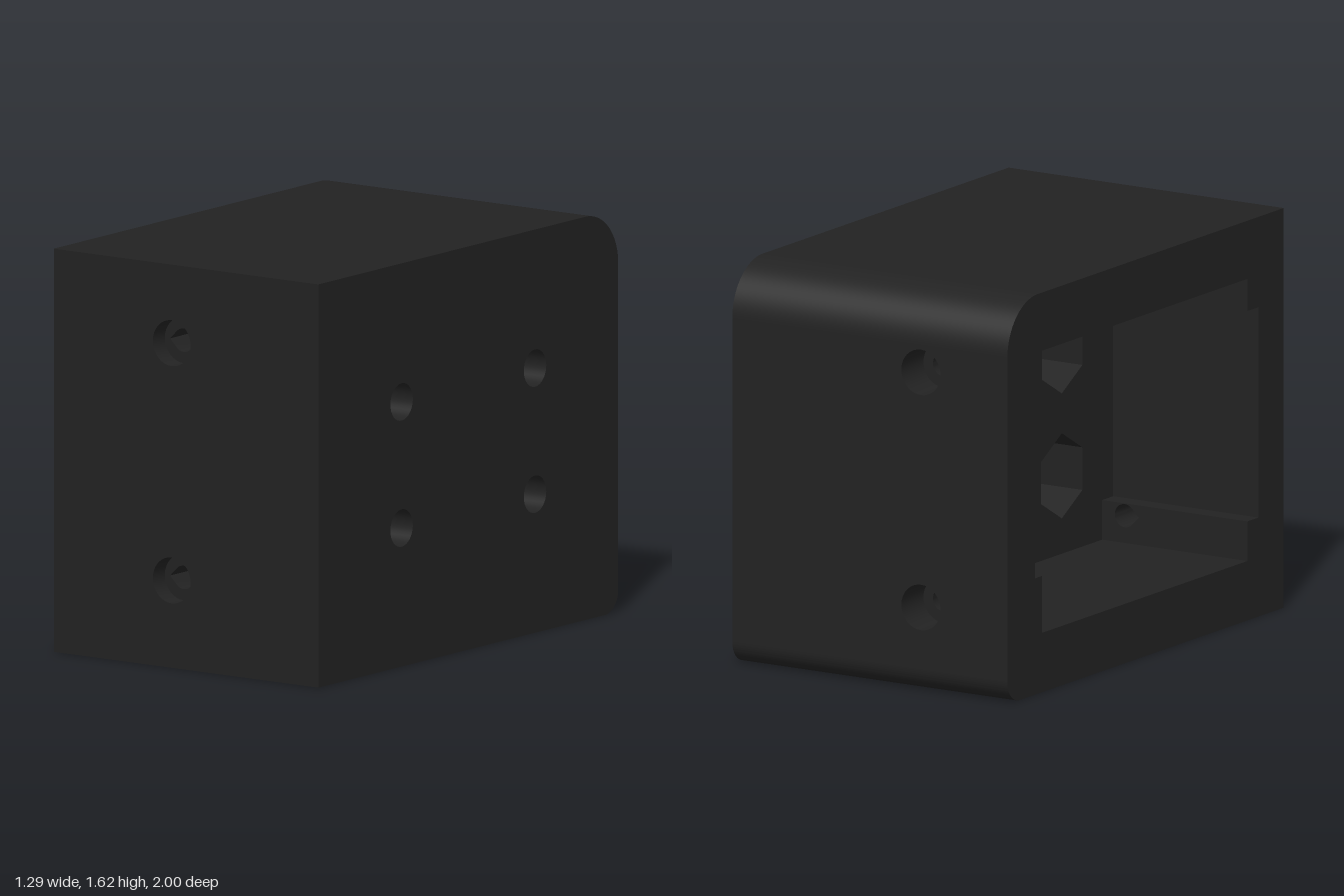
import * as THREE from 'three';
import { toCreasedNormals } from 'three/addons/utils/BufferGeometryUtils.js';

const X = 0.645, H = 1.615;          // half width, height
const FLOOR_X = 0.036;               // floor of the cavity
const POCKET_X = 0.35;               // bottom of the nut pockets
const material = new THREE.MeshStandardMaterial({ color: 0x222222, side: THREE.DoubleSide });

// Maps a 2D loop point and a depth to 3D
const alongX = (p, d) => [d, p.y, p.x];   // loop in (z, y)
const alongZ = (p, d) => [p.x, p.y, d];   // loop in (x, y)

const pts = (list) => list.map(([a, b]) => new THREE.Vector2(a, b));

function ring(cx, cy, r, n = 32, start = 0) {
  return Array.from({ length: n }, (_, i) => {
    const a = start + (i / n) * Math.PI * 2;
    return new THREE.Vector2(cx + r * Math.cos(a), cy + r * Math.sin(a));
  });
}

// Circle with a pointed tip towards -x
function teardrop(cx, cy, r) {
  const loop = Array.from({ length: 25 }, (_, i) => {
    const a = -Math.PI * 0.75 + (i / 24) * Math.PI * 1.5;
    return new THREE.Vector2(cx + r * Math.cos(a), cy + r * Math.sin(a));
  });
  loop.push(new THREE.Vector2(cx - r * Math.SQRT2, cy));
  return loop;
}

function build(positions) {
  const g = new THREE.BufferGeometry();
  g.setAttribute('position', new THREE.Float32BufferAttribute(positions, 3));
  return toCreasedNormals(g, 0.5);
}

export function createModel() {
  const group = new THREE.Group();
  const add = (name, positions) => {
    const mesh = new THREE.Mesh(build(positions), material);
    mesh.name = name;
    group.add(mesh);
  };

  // Flat face with holes
  function face(name, map, depth, outline, holes = []) {
    const shape = new THREE.Shape(outline);
    shape.holes = holes.map((h) => new THREE.Path(h));
    const flat = new THREE.ShapeGeometry(shape).toNonIndexed().attributes.position;
    const out = [];
    for (let i = 0; i < flat.count; i++) {
      out.push(...map(new THREE.Vector2(flat.getX(i), flat.getY(i)), depth));
    }
    add(name, out);
  }

  // Wall swept along a loop; segments that satisfy skip are left open
  function wall(name, map, loop, d0, d1, skip = () => false) {
    const out = [];
    loop.forEach((p, i) => {
      const q = loop[(i + 1) % loop.length];
      if (skip(p, q)) return;
      const [a, b, c, d] = [map(p, d0), map(q, d0), map(q, d1), map(p, d1)];
      out.push(...a, ...b, ...c, ...a, ...c, ...d);
    });
    add(name, out);
  }

  // Outer side profile, rounded at the back
  const outline = new THREE.Shape();
  outline.moveTo(1, 0);
  outline.lineTo(1, H);
  outline.lineTo(-0.78, H);
  outline.absarc(-0.78, H - 0.22, 0.22, Math.PI / 2, Math.PI, false);
  outline.lineTo(-1, 0.09);
  outline.absarc(-0.91, 0.09, 0.09, Math.PI, Math.PI * 1.5, false);
  const outer = outline.getPoints(16);

  // Cavity profile with screw posts in the four corners
  const low = 0.24, high = 1.38, frontPost = 0.737, backPost = -0.75;
  const cavity = pts([
    [frontPost, low], [frontPost, 0.4], [0.817, 0.4], [0.817, 1.25], [frontPost, 1.25], [frontPost, high],
    [backPost, high], [backPost, 1.16], [-0.8, 1.16], [-0.8, 0.47], [backPost, 0.47], [backPost, low],
  ]);

  // Side holes and their hexagonal nut pockets
  const bolts = [-0.445, 0.445].flatMap((z) => [0.555, 1.06].map((y) => [z, y]));
  const rounds = bolts.map(([z, y]) => ring(z, y, 0.075));
  const hexes = bolts.map(([z, y]) => ring(z, y, 0.172, 6, Math.PI / 2));

  face('closedSide', alongX, X, outer, rounds);
  face('openRim', alongX, -X, outer, [cavity]);
  face('cavityFloor', alongX, FLOOR_X, cavity, hexes);
  rounds.forEach((loop, i) => {
    wall('boltHole', alongX, loop, X, POCKET_X);
    face('nutSeat', alongX, POCKET_X, hexes[i], [loop]);
    wall('nutPocket', alongX, hexes[i], POCKET_X, FLOOR_X);
  });

  // Walls, left open where the drilled end panels and post faces go
  const onZ = (p, q, z) => Math.abs(p.x - z) < 1e-4 && Math.abs(q.x - z) < 1e-4;
  wall('outerWall', alongX, outer, -X, X, (p, q) => onZ(p, q, 1) || onZ(p, q, -1));
  wall('cavityWall', alongX, cavity, -X, FLOOR_X,
    (p, q) => onZ(p, q, frontPost) || onZ(p, q, backPost));

  // Counterbored screw holes through each end
  const rect = (x0, x1, y0, y1) => pts([[x0, y0], [x1, y0], [x1, y1], [x0, y1]]);
  const ends = [
    { name: 'front', z: 1, seat: 0.92, inner: frontPost, x: -0.07, ys: [0.35, 1.3],
      y0: 0, y1: H, posts: [[low, 0.4], [1.25, high]] },
    { name: 'back', z: -1, seat: -0.84, inner: backPost, x: -0.24, ys: [0.34, 1.29],
      y0: 0.09, y1: H - 0.22, posts: [[low, 0.47], [1.16, high]] },
  ];
  for (const e of ends) {
    const bores = e.ys.map((y) => ring(e.x, y, 0.092));
    const drops = e.ys.map((y) => teardrop(e.x, y, 0.047));
    face(e.name + 'Panel', alongZ, e.z, rect(-X, X, e.y0, e.y1), bores);
    bores.forEach((bore, i) => {
      wall(e.name + 'Counterbore', alongZ, bore, e.z, e.seat);
      face(e.name + 'ScrewSeat', alongZ, e.seat, bore, [drops[i]]);
      wall(e.name + 'ScrewHole', alongZ, drops[i], e.seat, e.inner);
      face(e.name + 'Post', alongZ, e.inner, rect(-X, FLOOR_X, ...e.posts[i]), [drops[i]]);
    });
  }
  return group;
}
